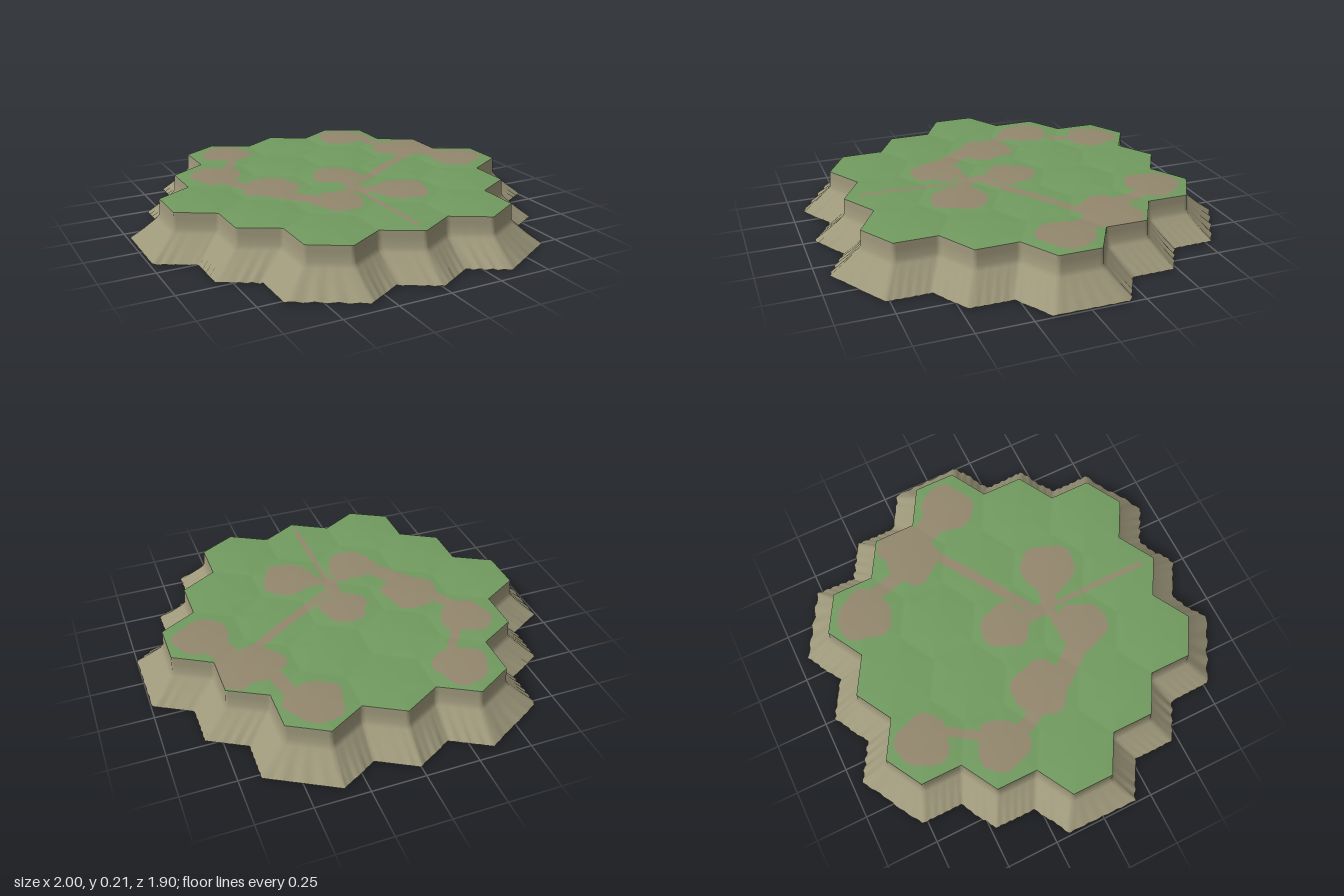
import * as THREE from 'three';
import { mergeVertices } from 'three/addons/utils/BufferGeometryUtils.js';

const R = 0.2, W = R * Math.sqrt(3), TOP = 0.199, FLARE = 0.128;
const DIV = 20; // subdivisions of each hexagon sector

// Clearings: x, z, radius
const clearings = [
  [-0.34, -0.61, 0.125], [-0.52, -0.29, 0.122], [-0.35, -0.01, 0.132],
  [-0.16, 0.31, 0.122], [0, -0.02, 0.116], [0.18, 0.3, 0.132],
  [0.52, -0.28, 0.128], [0.62, -0.3, 0.11], [0.35, -0.61, 0.13], [0.7, -0.01, 0.13],
];
// Trails: x1, z1, x2, z2, half width
const trails = [
  [-0.33, -0.52, -0.43, -0.37, 0.022], [-0.51, -0.2, -0.44, -0.06, 0.035],
  [-0.37, 0.08, -0.24, 0.25, 0.05], [-0.2, 0.22, -0.03, 0.21, 0.02],
  [0, 0.05, 0, 0.22, 0.035], [0, 0.22, 0.12, 0.25, 0.035],
  [0, 0.2, 0, 0.72, 0.013], [0.05, 0.12, 0.5, -0.17, 0.024],
  [0.43, -0.52, 0.47, -0.36, 0.035], [0.61, -0.22, 0.66, -0.08, 0.06],
];

function isDirt(x, z) {
  for (const [cx, cz, r] of clearings) {
    const a = Math.atan2(z - cz, x - cx);
    const wobble = 1 + 0.07 * Math.sin(3 * a + cx * 20) + 0.04 * Math.sin(5 * a + cz * 30);
    if (Math.hypot(x - cx, z - cz) < r * wobble) return true;
  }
  for (const [x1, z1, x2, z2, w] of trails) {
    const dx = x2 - x1, dz = z2 - z1;
    const t = THREE.MathUtils.clamp(((x - x1) * dx + (z - z1) * dz) / (dx * dx + dz * dz), 0, 1);
    if (Math.hypot(x - x1 - t * dx, z - z1 - t * dz) < w) return true;
  }
  return false;
}

// Hexagon centres: rows of 3, 4, 5, 4 and 3
function hexCentres() {
  const list = [];
  for (let row = -2; row <= 2; row++) {
    const n = 5 - Math.abs(row);
    for (let i = 0; i < n; i++) list.push([(i - (n - 1) / 2) * W, row * R * 1.5]);
  }
  return list;
}

const corner = ([cx, cz], i) => {
  const a = (i - 0.5) * Math.PI / 3;
  return [cx + R * Math.cos(a), cz + R * Math.sin(a)];
};
const lerp = THREE.MathUtils.lerp;

function smoothGeometry(positions) {
  let g = new THREE.BufferGeometry();
  g.setAttribute('position', new THREE.Float32BufferAttribute(positions, 3));
  g = mergeVertices(g, 1e-5);
  g.computeVertexNormals();
  return g;
}

// Gently domed hexagon tiles, sorted into grass and dirt faces
function groundGeometry(centres) {
  const grass = [], dirt = [];
  for (const c of centres) {
    for (let s = 0; s < 6; s++) {
      const p = corner(c, s), q = corner(c, s + 1);
      const point = (i, j) => { // i rings out from the centre, j steps along the ring
        const k = i / DIV, t = i ? j / i : 0;
        const x = lerp(c[0], lerp(p[0], q[0], t), k), z = lerp(c[1], lerp(p[1], q[1], t), k);
        const swell = 0.002 * Math.sin(7 * x + 2) * Math.cos(6 * z);
        return [x, TOP + 0.007 * (1 - k * k) + swell, z];
      };
      const face = (a, b, d) => {
        const list = isDirt((a[0] + b[0] + d[0]) / 3, (a[2] + b[2] + d[2]) / 3) ? dirt : grass;
        list.push(...a, ...b, ...d);
      };
      for (let i = 0; i < DIV; i++) {
        for (let j = 0; j <= i; j++) {
          face(point(i, j), point(i + 1, j + 1), point(i + 1, j));
          if (j < i) face(point(i, j), point(i, j + 1), point(i + 1, j + 1));
        }
      }
    }
  }
  const g = smoothGeometry(grass.concat(dirt));
  g.addGroup(0, grass.length / 3, 0);
  g.addGroup(grass.length / 3, dirt.length / 3, 1);
  return g;
}

// Cliff: steep at the rim, then flaring out to a ragged foot
function cliffGeometry(centres) {
  const key = (p) => `${Math.round(p[0] * 1000)},${Math.round(p[1] * 1000)}`;
  const edges = [], mitre = new Map();
  for (const c of centres) {
    for (let s = 0; s < 6; s++) {
      const a = s * Math.PI / 3, n = [Math.cos(a), Math.sin(a)];
      const next = [c[0] + W * n[0], c[1] + W * n[1]];
      if (centres.some((o) => Math.hypot(o[0] - next[0], o[1] - next[1]) < 0.01)) continue;
      const p = corner(c, s), q = corner(c, s + 1);
      edges.push([p, q]);
      for (const v of [p, q]) {
        const m = mitre.get(key(v)) || [0, 0];
        mitre.set(key(v), [m[0] + n[0] / 1.5, m[1] + n[1] / 1.5]);
      }
    }
  }
  // Profile: share of the flare, height
  const profile = [[0, TOP], [0.01, 0.17], [0.03, 0.125], [0.14, 0.105], [0.55, 0.055], [1, 0.006]];
  const steps = 14, out = [];
  for (const [p, q] of edges) {
    const mp = mitre.get(key(p)), mq = mitre.get(key(q));
    const point = (i, k) => {
      const t = i / steps, [f, y] = profile[k];
      const x = lerp(p[0], q[0], t), z = lerp(p[1], q[1], t);
      const ragged = Math.sin(97 * x + 71 * z) * Math.cos(83 * z - 59 * x);
      const reach = FLARE * f * (1 + 0.04 * ragged);
      const swell = k === 0 ? 0.002 * Math.sin(7 * x + 2) * Math.cos(6 * z) : 0;
      const lift = k === profile.length - 1 ? 0.006 * ragged : 0;
      return [x + lerp(mp[0], mq[0], t) * reach, y + swell + lift, z + lerp(mp[1], mq[1], t) * reach];
    };
    for (let i = 0; i < steps; i++) {
      for (let k = 0; k < profile.length - 1; k++) {
        const a = point(i, k), b = point(i + 1, k), c = point(i, k + 1), d = point(i + 1, k + 1);
        out.push(...a, ...b, ...c, ...b, ...d, ...c);
      }
    }
  }
  return smoothGeometry(out);
}

export function createModel() {
  const material = (name, color) => {
    const m = new THREE.MeshStandardMaterial({ color, side: THREE.DoubleSide });
    m.name = name;
    return m;
  };
  const grass = material('grass', 0x729b60);
  const dirt = material('dirt', 0x93876d);
  const rock = material('rock', 0x9d977a);

  const centres = hexCentres();
  const model = new THREE.Group();
  model.name = 'hexagonPlateau';

  const ground = new THREE.Mesh(groundGeometry(centres), [grass, dirt]);
  ground.name = 'ground';
  const cliff = new THREE.Mesh(cliffGeometry(centres), rock);
  cliff.name = 'cliff';
  model.add(ground, cliff);
  for (const part of model.children) part.position.set(0.004, 0, -0.004);
  return model;
}
